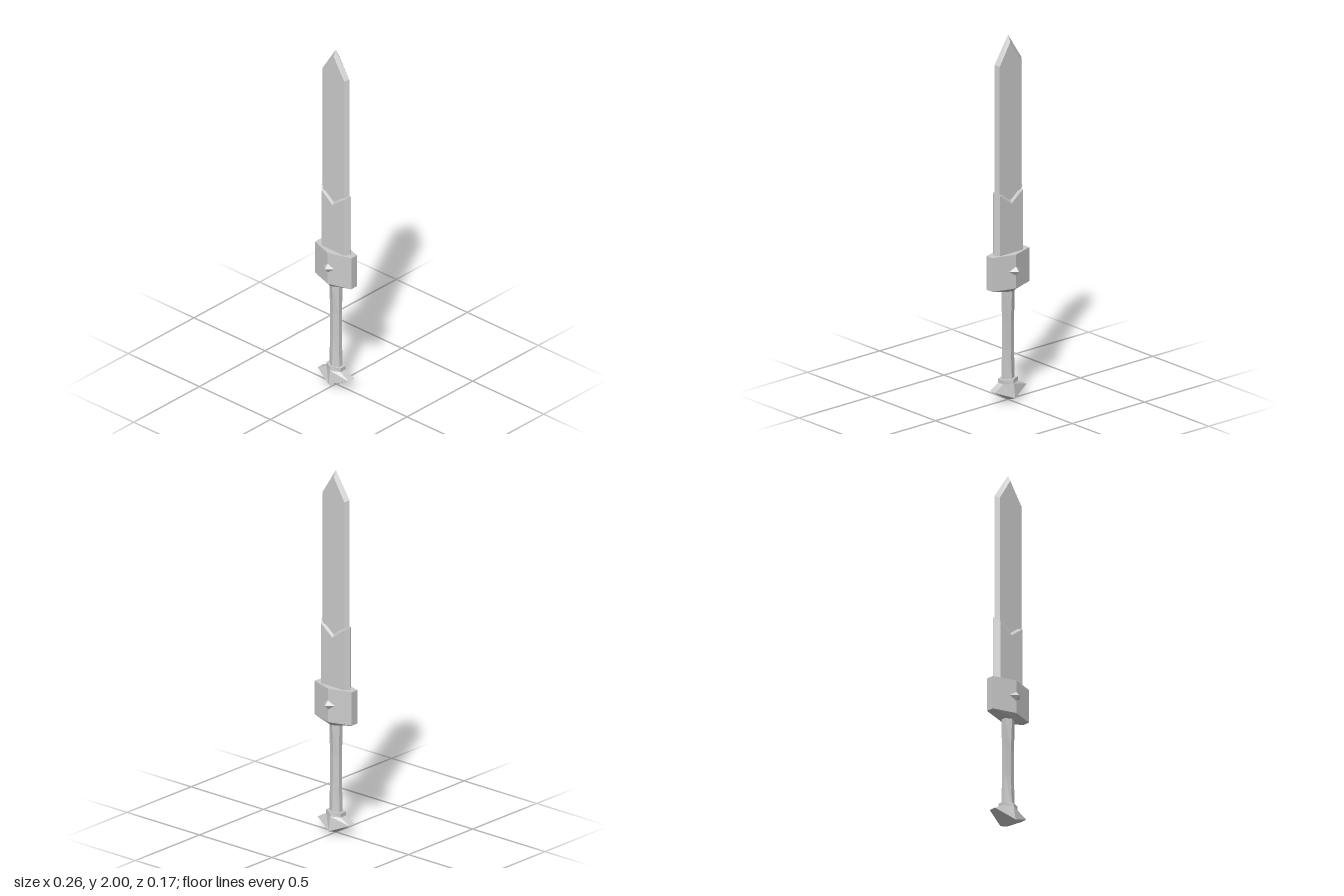
import * as THREE from 'three';

const steel = new THREE.MeshStandardMaterial({ color: 0xcccccc, flatShading: true });

// Joins rings of [x, y, z] points (counter-clockwise from above, bottom ring first) and caps both ends.
function loft(name, rings) {
  const pos = [];
  const a = new THREE.Vector3(), b = new THREE.Vector3(), c = new THREE.Vector3();
  const tri = (p, q, r) => {
    a.set(...p); b.set(...q); c.set(...r);
    if (b.clone().sub(a).cross(c.clone().sub(a)).length() > 1e-7) pos.push(...p, ...q, ...r);
  };
  const n = rings[0].length;
  const middle = (ring) => [0, 1, 2].map((k) => ring.reduce((s, p) => s + p[k], 0) / n);
  for (let r = 0; r < rings.length - 1; r++) {
    const lo = rings[r], hi = rings[r + 1];
    for (let i = 0; i < n; i++) {
      const j = (i + 1) % n;
      tri(lo[i], lo[j], hi[i]);
      tri(lo[j], hi[j], hi[i]);
    }
  }
  const first = rings[0], last = rings[rings.length - 1];
  const bottom = middle(first), top = middle(last);
  for (let i = 0; i < n; i++) {
    const j = (i + 1) % n;
    tri(first[j], first[i], bottom);
    tri(last[i], last[j], top);
  }
  const geo = new THREE.BufferGeometry();
  geo.setAttribute('position', new THREE.Float32BufferAttribute(pos, 3));
  geo.computeVertexNormals();
  const mesh = new THREE.Mesh(geo, steel);
  mesh.name = name;
  return mesh;
}

// Hexagon with a ridge at front and back and a narrow flat on each side.
const ridged = (ySide, x, sideZ, ridgeZ, yRidge = ySide) => [
  [x, ySide, -sideZ], [0, yRidge, -ridgeZ], [-x, ySide, -sideZ],
  [-x, ySide, sideZ], [0, yRidge, ridgeZ], [x, ySide, sideZ],
];

// Flat bevelled section: cutting edges at +-w, flats up to +-f, half thickness t.
const bevelled = (w, f, t, yEdge, yFlat = yEdge, yMid = yEdge) => [
  [w, yEdge, 0], [f, yFlat, -t], [0, yMid, -t], [-f, yFlat, -t],
  [-w, yEdge, 0], [-f, yFlat, t], [0, yMid, t], [f, yFlat, t],
];

export function createModel() {
  const sword = new THREE.Group();
  sword.name = 'sword';

  // Blade with bevelled edges closing to the tip
  const w = 0.094, f = 0.074, t = 0.018, shoulder = 1.855;
  sword.add(loft('blade', [
    bevelled(w, f, t, 0.75),
    bevelled(w, f, t, shoulder, 1.845, 1.965),
    bevelled(w, 0, 0, shoulder, 2, 2),
  ]));

  // Thicker blade base with a V-cut top
  sword.add(loft('bladeSleeve', [
    bevelled(0.1, 0.078, 0.027, 0.75),
    bevelled(0.1, 0.078, 0.027, 1.16, 1.14, 1.08),
  ]));

  // Guard block, chamfered underneath
  sword.add(loft('guard', [
    ridged(0.603, 0.04, 0.02, 0.042),
    ridged(0.625, 0.128, 0.022, 0.063),
    ridged(0.81, 0.128, 0.022, 0.063),
  ]));

  // Gems on the front and back of the guard
  for (const side of [1, -1]) {
    const geo = new THREE.OctahedronGeometry(1);
    geo.scale(0.038, 0.04, 0.035);
    const gem = new THREE.Mesh(geo, steel);
    gem.name = side > 0 ? 'frontGem' : 'backGem';
    gem.position.set(0, 0.72, 0.05 * side);
    sword.add(gem);
  }

  // Waisted grip
  sword.add(loft('grip', [
    ridged(0.1, 0.036, 0.012, 0.032),
    ridged(0.28, 0.031, 0.012, 0.022),
    ridged(0.43, 0.031, 0.012, 0.022),
    ridged(0.61, 0.035, 0.013, 0.032),
  ]));

  // Pommel: collar flaring to side points, then down to a blunt tip
  sword.add(loft('pommel', [
    ridged(0, 0, 0, 0),
    ridged(0.065, 0.11, 0.02, 0.057, 0.02),
    ridged(0.098, 0.05, 0.02, 0.045),
    ridged(0.12, 0.05, 0.02, 0.042),
  ]));

  return sword;
}
